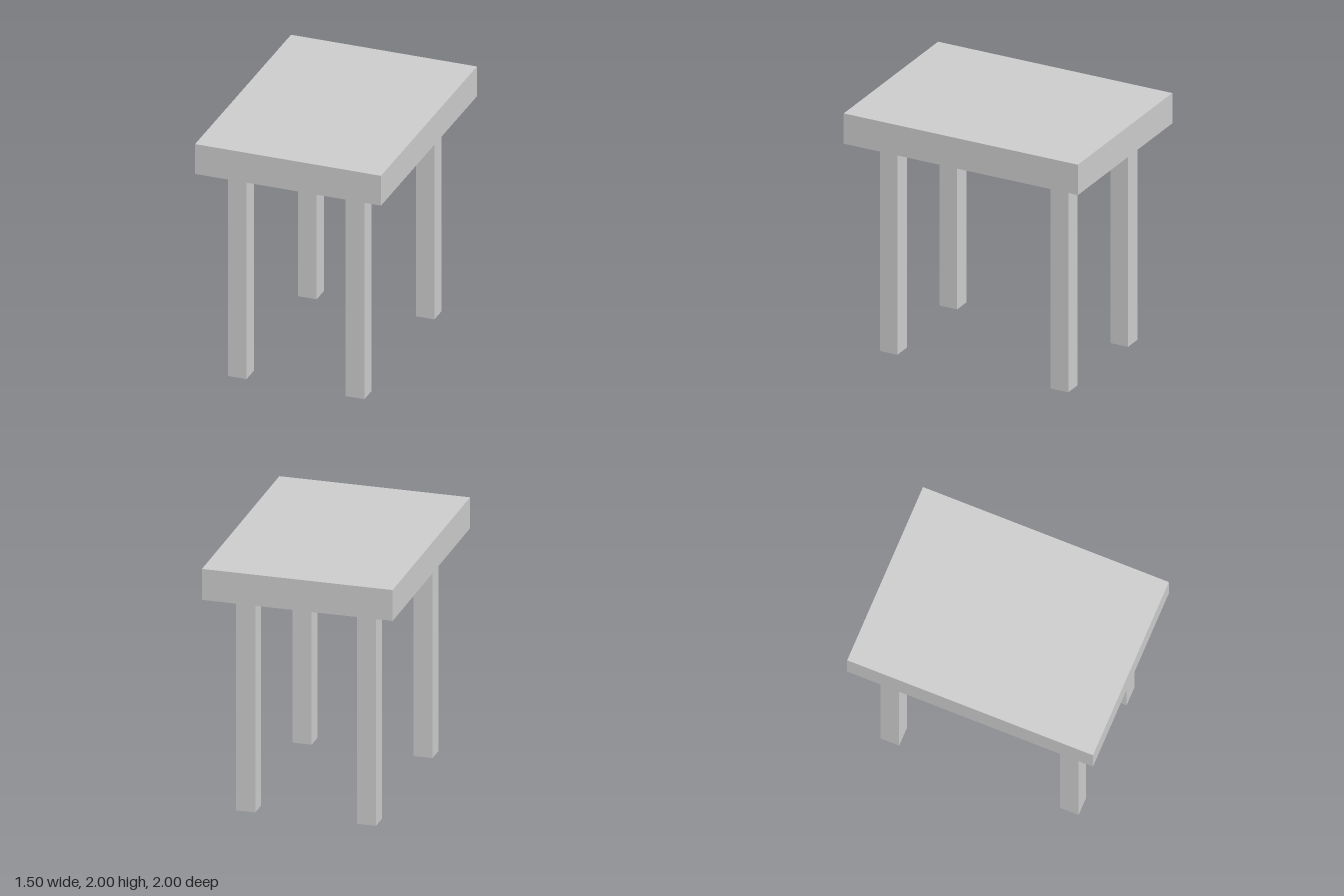
import * as THREE from 'three';

export function createModel() {
  const model = new THREE.Group();
  model.name = 'table';
  const material = new THREE.MeshStandardMaterial({ color: 0xcccccc, flatShading: true });

  const addBox = (name, width, height, depth, x, y, z) => {
    const mesh = new THREE.Mesh(new THREE.BoxGeometry(width, height, depth), material);
    mesh.name = name;
    mesh.position.set(x, y, z);
    model.add(mesh);
  };

  // Thick slab top
  const topThickness = 0.25;
  const legHeight = 2 - topThickness;
  addBox('tableTop', 1.5, topThickness, 2, 0, legHeight + topThickness / 2, 0);

  // Four square legs, set very slightly off centre across the width
  const legWidth = 0.15;
  for (const [side, x] of [['Left', 0.465], ['Right', -0.485]]) {
    for (const [end, z] of [['front', 0.73], ['back', -0.73]]) {
      addBox(`${end}${side}Leg`, legWidth, legHeight, legWidth, x, legHeight / 2, z);
    }
  }

  return model;
}
